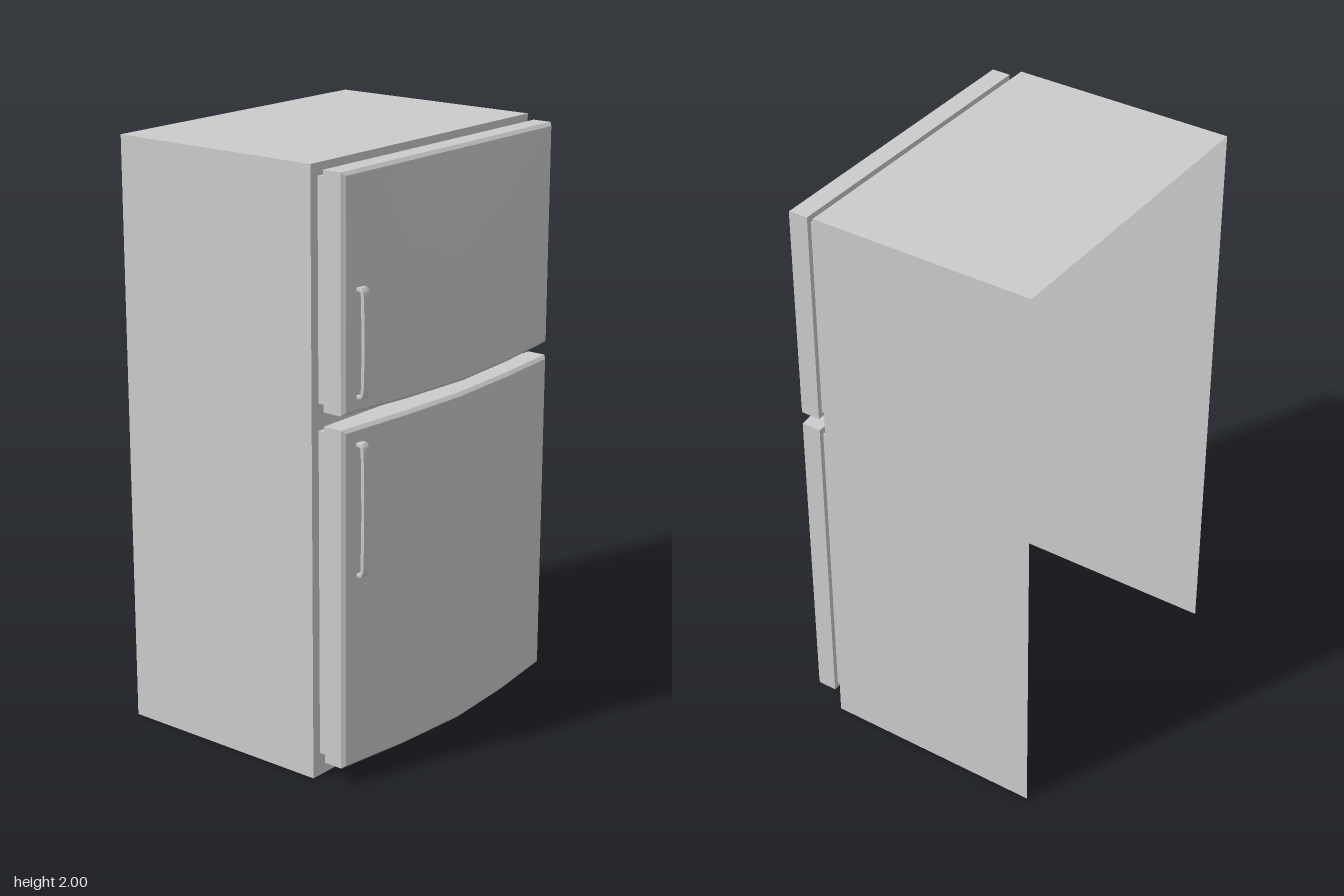
import * as THREE from 'three';
import { toCreasedNormals } from 'three/addons/utils/BufferGeometryUtils.js';

const material = new THREE.MeshStandardMaterial({ color: 0xcccccc });
const shellMaterial = new THREE.MeshStandardMaterial({ color: 0xcccccc, side: THREE.DoubleSide });

const HALF_WIDTH = 0.547; // doors
const DOOR_BACK = 0.34;
const DOOR_EDGE = 0.415;
const CABINET_FRONT = 0.305;
const BULGE = 0.056;
const BEVEL = 0.011;

function addMesh(parent, name, geometry, mat = material) {
  const mesh = new THREE.Mesh(geometry, mat);
  mesh.name = name;
  parent.add(mesh);
  return mesh;
}

// Cabinet shell: sides, top and front panel; the back and underside are open
function cabinetGeometry() {
  const depth = CABINET_FRONT + 0.475;
  const geo = new THREE.BoxGeometry(1.126, 2, depth);
  const index = Array.from(geo.index.array);
  geo.setIndex([...index.slice(0, 18), ...index.slice(24, 30)]);
  geo.clearGroups();
  geo.translate(0, 1, CABINET_FRONT - depth / 2);
  return geo;
}

// Door slab bowed in plan; the bow shrinks to topBow between the knee and the top edge
function doorGeometry({ bottom, knee, top, topBow }) {
  const geo = new THREE.BoxGeometry(2, 2, 2, 4, 2, 2);
  const pos = geo.attributes.position;
  for (let i = 0; i < pos.count; i++) {
    const u = pos.getX(i), v = Math.round(pos.getY(i)), layer = Math.round(pos.getZ(i));
    const inset = layer === 1 ? BEVEL : 0;
    const x = u * (HALF_WIDTH - inset);
    const y = v < 0 ? bottom + inset : v > 0 ? top - inset : knee;
    const bow = BULGE * (1 - Math.abs(u) ** 1.55) * (v > 0 ? topBow : 1);
    const z = layer < 0 ? DOOR_BACK : DOOR_EDGE + bow + (layer ? 0.003 : -0.008);
    pos.setXYZ(i, x, y, z);
  }
  return toCreasedNormals(geo, 0.5);
}

// Bowed pull handle: side profile (z outward, y up) extruded across its width
function handleGeometry(bottom, top, bury) {
  const root = 0.415, out = 0.455, t = 0.013;
  const s = new THREE.Shape();
  s.moveTo(root - bury, top);
  s.lineTo(root + 0.018, top);
  s.quadraticCurveTo(out - 0.005, top, out - 0.003, top - 0.035);
  s.quadraticCurveTo(out + 0.003, (top + bottom) / 2, out - 0.003, bottom + 0.035);
  s.quadraticCurveTo(out - 0.005, bottom, root + 0.018, bottom);
  s.lineTo(root - bury, bottom);
  s.lineTo(root - bury, bottom + t);
  s.lineTo(root + 0.015, bottom + t);
  s.quadraticCurveTo(out - t - 0.003, bottom + t, out - t - 0.003, bottom + 0.04);
  s.lineTo(out - t, (top + bottom) / 2);
  s.lineTo(out - t - 0.003, top - 0.04);
  s.quadraticCurveTo(out - t - 0.003, top - t, root + 0.015, top - t);
  s.lineTo(root - bury, top - t);
  s.closePath();
  const width = 0.034, bevel = 0.003;
  const geo = new THREE.ExtrudeGeometry(s, {
    depth: width - 2 * bevel, curveSegments: 8,
    bevelEnabled: true, bevelThickness: bevel, bevelSize: bevel, bevelOffset: -bevel, bevelSegments: 2,
  });
  // Turn the profile so its x becomes z and its thickness runs along x
  geo.rotateY(-Math.PI / 2);
  geo.translate(-0.458 - bevel, 0, 0);
  return toCreasedNormals(geo, 0.6);
}

export function createModel() {
  const model = new THREE.Group();
  model.name = 'refrigerator';
  addMesh(model, 'cabinet', cabinetGeometry(), shellMaterial);

  const doors = [
    { name: 'freezerDoor', bottom: 1.235, knee: 1.72, top: 1.985, topBow: 0, handle: [1.28, 1.63] },
    { name: 'fridgeDoor', bottom: 0.06, knee: 0.89, top: 1.19, topBow: 0.65, handle: [0.7, 1.14] },
  ];
  for (const d of doors) {
    const door = new THREE.Group();
    door.name = d.name;
    addMesh(door, 'panel', doorGeometry(d));
    addMesh(door, 'handle', handleGeometry(d.handle[0], d.handle[1], 0.01));

    // Recessed seal between door and cabinet
    const sealBottom = d.bottom + 0.018, sealTop = d.top - 0.025;
    const seal = addMesh(door, 'seal',
      new THREE.BoxGeometry(1.06, sealTop - sealBottom, DOOR_BACK - CABINET_FRONT));
    seal.position.set(0, (sealTop + sealBottom) / 2, (DOOR_BACK + CABINET_FRONT) / 2);
    model.add(door);
  }
  return model;
}
